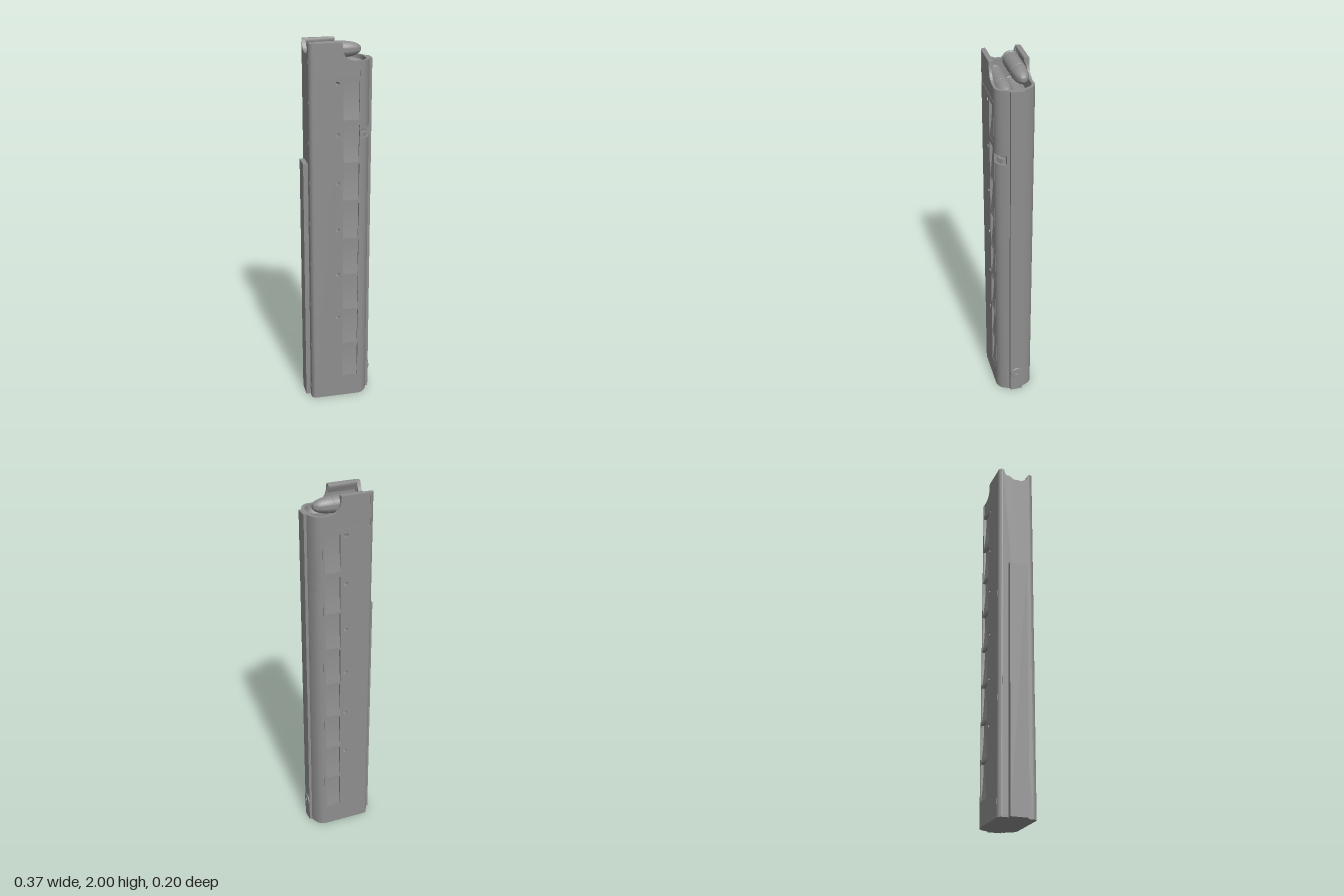
import * as THREE from 'three';
import { toCreasedNormals } from 'three/addons/utils/BufferGeometryUtils.js';

const mat = new THREE.MeshStandardMaterial({ color: 0x8e8e8e, side: THREE.DoubleSide });
const v2 = (pts) => pts.map(([a, b]) => new THREE.Vector2(a, b));
const shapeOf = (pts) => new THREE.Shape(v2(pts));
const extrude = (shape, depth) =>
  new THREE.ExtrudeGeometry(shape, { depth, bevelEnabled: false, curveSegments: 10 });

// Plan outline [x, z] raised from y0 to y1
function upright(pts, y0, y1) {
  return extrude(shapeOf(pts.map(([x, z]) => [x, -z])), y1 - y0).rotateX(-Math.PI / 2).translate(0, y0, 0);
}
// End profile [z, y] swept from x0 to x1
function along(pts, x0, x1) {
  return extrude(shapeOf(pts.map(([z, y]) => [-z, y])), x1 - x0).rotateY(Math.PI / 2).translate(x0, 0, 0);
}

export function createModel() {
  const root = new THREE.Group();
  const add = (name, geo, parent = root) => {
    const mesh = new THREE.Mesh(toCreasedNormals(geo, 0.55), mat);
    mesh.name = name;
    parent.add(mesh);
    return mesh;
  };

  const half = 0.102, stepY = 1.835, frontTop = 1.91;
  const windowTops = [1.81, 1.585, 1.38, 1.165, 0.955, 0.745, 0.535, 0.325];
  const windowH = 0.197, winX0 = 0.015, winX1 = 0.1;

  // Plan outlines of the rounded front and the rear corners
  const mirror = (pts) => pts.map(([x, z]) => [x, -z]).reverse();
  const outer = [[0.1, half], [0.115, 0.1], [0.13, 0.094], [0.145, 0.08], [0.155, 0.062], [0.162, 0.046], [0.166, 0.03]];
  const inner = [[0.149, 0.026], [0.145, 0.045], [0.134, 0.066], [0.12, 0.08], [0.1, 0.087]];
  const rearArc = [];
  for (let i = 0; i <= 6; i++) {
    const a = (i / 6) * Math.PI / 2;
    rearArc.push([-0.139 - 0.021 * Math.sin(a), 0.078 + 0.024 * Math.cos(a)]);
  }

  // Closed bottom and inner filling below the top cartridges
  add('floorPlate', upright([...outer, ...mirror(outer), ...mirror(rearArc).reverse(), ...rearArc.slice().reverse()], 0, 0.01));
  add('core', upright([[-0.145, -0.071], [0.11, -0.071], [0.14, -0.045], [0.152, -0.03],
    [0.152, 0.03], [0.14, 0.045], [0.11, 0.071], [-0.145, 0.071]], 0.005, 1.77));

  // Side walls with windows and witness holes
  const wall = shapeOf([[-0.14, 0], [0.108, 0], [0.108, stepY], [-0.14, stepY]]);
  for (const top of windowTops) {
    const b = top - windowH;
    wall.holes.push(new THREE.Path(v2([[winX0, b], [winX0, top], [winX1 + 0.003, top], [winX1 - 0.005, b]])));
  }
  for (let i = 0; i < 6; i++) {
    wall.holes.push(new THREE.Path().absarc(-0.015, 1.8 - i * 0.26, 0.011, 0, Math.PI * 2, true));
  }

  // Upper walls, stepped in slightly, scooped down toward the front
  const upper = new THREE.Shape();
  upper.moveTo(-0.14, stepY);
  upper.lineTo(0.108, stepY);
  upper.lineTo(0.108, frontTop);
  upper.lineTo(0.075, frontTop);
  upper.quadraticCurveTo(0.02, 1.915, 0.012, 1.97);
  upper.lineTo(0.01, 2);
  upper.lineTo(-0.14, 2);

  for (const s of [1, -1]) {
    const side = new THREE.Group();
    side.name = s > 0 ? 'frontSide' : 'backSide';
    root.add(side);
    add('windowedWall', extrude(wall, 0.032).translate(0, 0, s > 0 ? half - 0.032 : -half), side);
    add('upperWall', extrude(upper, 0.014).translate(0, 0, s > 0 ? 0.086 : -0.1), side);

    // Shallow window floors, deepest at the top and curving out to the bottom edge
    for (const top of windowTops) {
      const floor = [[s * 0.065, top - windowH]];
      for (let i = 6; i >= 0; i--) floor.push([s * (0.086 + 0.0145 * (i / 6) ** 2), top - windowH * (i / 6)]);
      floor.push([s * 0.065, top]);
      add('windowFloor', along(floor, winX0 - 0.002, winX1 + 0.003), side);
    }

    // Feed lip folded inward
    add('feedLip', along([[0.098, 2], [0.076, 2], [0.073, 1.992], [0.075, 1.98], [0.083, 1.965], [0.088, 1.945],
      [0.098, 1.945]].map(([z, y]) => [s * z, y]), -0.145, 0.01), side);

    // Rounded rear corner
    add('rearCorner', upright([[-0.139, 0.078], ...rearArc].map(([x, z]) => [x, s * z]), 0, 2), side);
  }

  // Rear wall with a dip between the lips
  add('rearWall', along([[-0.08, 0], [0.08, 0], [0.08, 2], [0.074, 1.995], [0.067, 1.973], [0.052, 1.953],
    [0.028, 1.944], [-0.028, 1.944], [-0.052, 1.953], [-0.067, 1.973], [-0.074, 1.995], [-0.08, 2]], -0.16, -0.14));

  // Rounded front wall, with a catch notch cut from one corner
  const fullRing = [...outer, ...mirror(outer), ...mirror(inner), ...inner];
  const cutRing = [[0.161, 0.05], [0.166, 0.03], ...mirror(outer), ...mirror(inner), [0.149, 0.026], [0.143, 0.05]];
  add('frontWallLower', upright(fullRing, 0, 1.515));
  add('frontWallNotched', upright(cutRing, 1.515, 1.565));
  add('frontWallUpper', upright(fullRing, 1.565, frontTop));
  add('notchCatch', upright([[0.11, 0.06], [0.142, 0.045], [0.142, 0.068], [0.122, 0.086], [0.11, 0.086]], 1.515, 1.54));

  // Front and rear ribs
  add('frontRib', upright([[0.155, -0.037], [0.179, -0.035], [0.18, 0], [0.179, 0.035], [0.155, 0.037]], 0, frontTop));
  add('rearRib', new THREE.BoxGeometry(0.03, 1.38, 0.098).translate(-0.17, 0.69, 0));

  // Button low on the front rib
  const button = new THREE.LatheGeometry(v2([[0.034, 0], [0.034, 0.004], [0.031, 0.007], [0.011, 0.007],
    [0.009, 0.002], [0, 0.002]]), 32);
  add('frontButton', button.rotateZ(-Math.PI / 2).translate(0.178, 0.13, 0));

  // Cartridges: rim, groove, case and rounded nose
  const profile = [[0, 0], [0.038, 0], [0.041, 0.003], [0.041, 0.012], [0.038, 0.015], [0.038, 0.022],
    [0.042, 0.028], [0.042, 0.17], [0.041, 0.171]];
  for (let i = 1; i < 10; i++) {
    const a = (i / 10) * Math.PI / 2;
    profile.push([0.041 * Math.pow(Math.cos(a), 0.85), 0.171 + 0.099 * Math.sin(a)]);
  }
  profile.push([0, 0.27]);
  const cartridge = new THREE.LatheGeometry(v2(profile), 32).rotateZ(-Math.PI / 2);
  for (let i = 0; i < 3; i++) {
    add('cartridge', cartridge).position.set(-0.132, 1.945 - i * 0.066, i % 2 ? 0.042 : -0.04);
  }
  return root;
}
